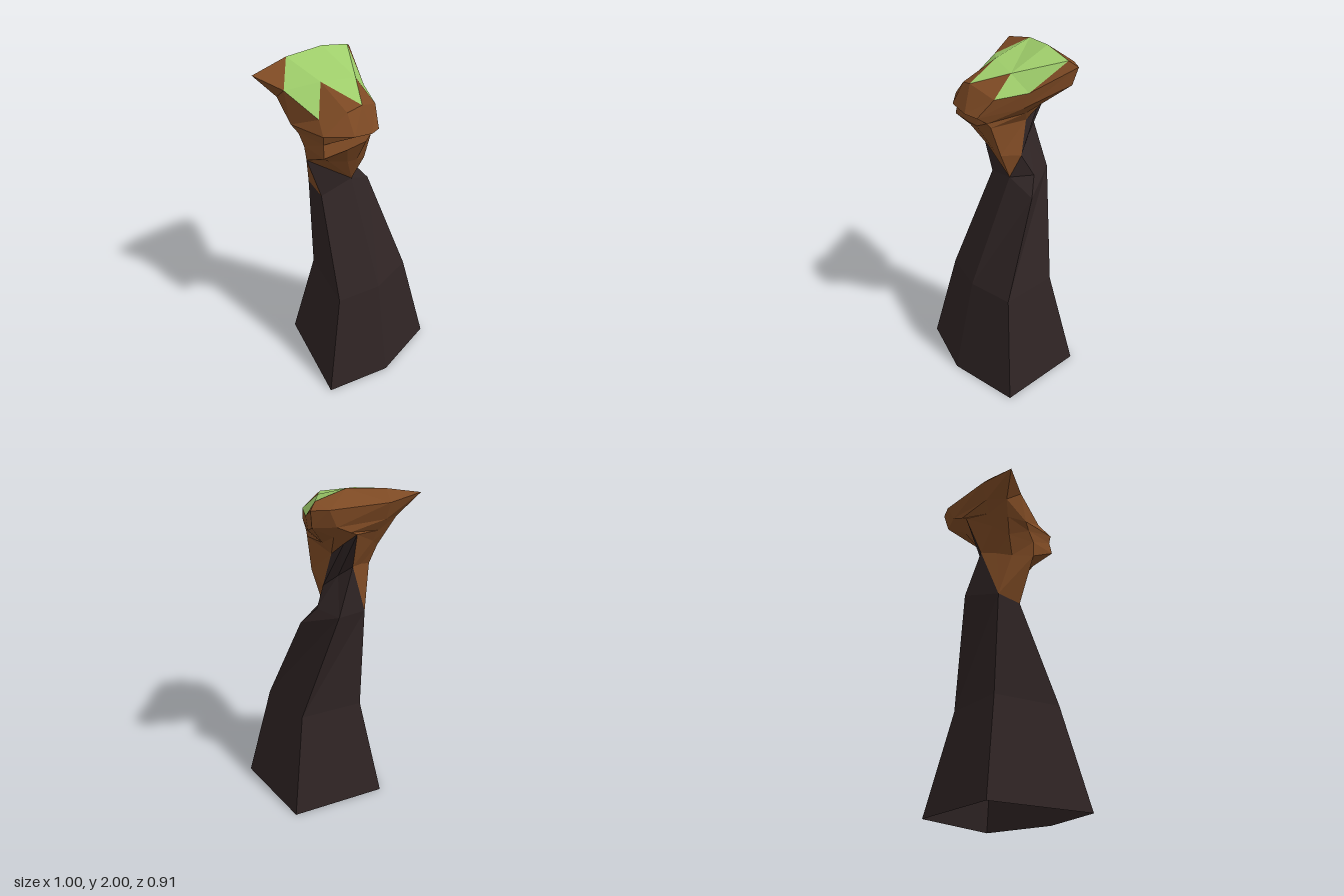
import * as THREE from 'three';

// Corner rings run from -x through the front (+z) to +x and round the back.
const base = [[-.37, 0, -.12], [-.1, 0, .457], [.25, 0, .27], [.5, 0, -.09], [.1, 0, -.457]];
const waist = [[-.22, .62, -.08], [-.045, .62, .3], [.19, .62, .165], [.35, .62, -.065], [.088, .62, -.3]];
const shoulder = [[-.23, 1.24, -.06], [-.15, 1.22, .07], [.02, 1.27, -.045], [.115, 1.19, -.18], [-.12, 1.28, -.255]];
const notch = [.02, 1.29, -.185];

const neck = [[-.235, 1.5, .02], [-.22, 1.51, .15], [-.1, 1.49, .13], [0, 1.46, .08], [.05, 1.45, .04],
  [.09, 1.44, 0], [0, 1.4, -.11], [-.09, 1.48, -.14], [-.175, 1.55, -.165], [-.205, 1.53, -.07]];
const jaw = [[-.28, 1.62, 0], [-.23, 1.6, .15], [-.12, 1.595, .275], [0, 1.6, .19], [.1, 1.62, .13],
  [.125, 1.62, .05], [-.05, 1.6, -.13], [-.13, 1.69, -.2], [-.21, 1.77, -.26], [-.27, 1.68, -.1]];
const fold = [[-.33, 1.71, -.01], [-.26, 1.66, .12], [-.12, 1.67, .26], [.01, 1.66, .17], [.1, 1.66, .12],
  [.135, 1.65, .07], [0, 1.66, -.13], [-.09, 1.75, -.27], [-.18, 1.79, -.29], [-.3, 1.75, -.12]];
const brow = [[-.38, 1.8, -.02], [-.3, 1.7, .1], [-.12, 1.72, .27], [.04, 1.72, .265], [.13, 1.7, .19],
  [.165, 1.69, .12], [.08, 1.72, -.12], [0, 1.83, -.375], [-.12, 1.83, -.34], [-.34, 1.82, -.14]];
const rim = [[-.5, 1.93, 0], [-.33, 1.88, .07], [-.145, 1.78, .195], [0, 1.83, .21], [.075, 1.85, .165],
  [.145, 1.79, .03], [.085, 1.81, -.15], [0, 1.93, -.405], [-.09, 1.93, -.38], [-.365, 1.92, -.17]];

// Inner corners of the grass cap
const dip = [-.14, 1.92, .045], crest = [.04, 1.9, -.05], peak = [-.145, 2, -.235];
const westTop = [-.33, 1.98, -.13], backTop = [-.01, 1.96, -.35];

// Two triangles for each side between a lower and an upper ring
function band(lower, upper, keep = () => true) {
  const tris = [], n = lower.length;
  for (let i = 0; i < n; i++) {
    if (!keep(i)) continue;
    const j = (i + 1) % n;
    tris.push([lower[i], lower[j], upper[j]], [lower[i], upper[j], upper[i]]);
  }
  return tris;
}

function facets(name, tris, material) {
  const geometry = new THREE.BufferGeometry();
  geometry.setAttribute('position', new THREE.Float32BufferAttribute(tris.flat(2), 3));
  geometry.computeVertexNormals();
  const mesh = new THREE.Mesh(geometry, material);
  mesh.name = name;
  return mesh;
}

function flat(name, color, side = THREE.FrontSide) {
  const m = new THREE.MeshStandardMaterial({ color, side, flatShading: true });
  m.name = name;
  return m;
}

export function createModel() {
  const rock = flat('dark rock', 0x2f2424, THREE.DoubleSide);
  const earth = flat('brown earth', 0x7e4a24);
  const grass = flat('grass green', 0x9fce6b);
  const model = new THREE.Group();
  model.name = 'rockPillar';

  const [E, A, B, C, D] = shoulder;
  const N = neck, T = rim;
  const isBare = (i) => i === 6 || i === 7;

  // Tapering five-sided pillar, hollow and open underneath
  model.add(facets('pillar', [
    ...band(base, waist), ...band(waist, shoulder), [B, C, notch], [C, D, notch],
  ], rock));

  // Bare rock of the neck, rising up the back
  model.add(facets('neckRock', [
    [N[1], A, B], [N[6], B, notch], [N[6], notch, N[7]], [N[7], notch, D],
    [N[7], D, N[8]], [N[8], D, E],
    ...band(neck, jaw, isBare),
  ], rock));

  // Hanging earth points below the head
  model.add(facets('hangingEarth', [
    ...[1, 2, 3, 4, 5].map((i) => [B, N[i + 1], N[i]]),
    [N[8], E, N[9]], [N[9], E, N[0]], [N[0], E, N[1]], [E, A, N[1]],
  ], earth));

  // Overhanging earth head with a creased front
  model.add(facets('earthHead', [
    ...band(neck, jaw, (i) => !isBare(i)), ...band(jaw, fold), ...band(fold, brow), ...band(brow, rim),
  ], earth));

  // Earth showing round and between the grass points
  model.add(facets('earthRim', [
    [dip, T[2], T[3]], [dip, T[3], T[4]], [crest, T[4], T[5]],
    [westTop, T[0], T[1]], [T[9], T[0], westTop], [T[9], westTop, peak],
    [T[8], T[9], peak], [T[8], peak, backTop], [T[7], T[8], backTop], [T[6], T[7], backTop],
  ], earth));

  // Grass cap with jagged front edge
  model.add(facets('grassCap', [
    [westTop, T[1], dip], [T[1], T[2], dip], [westTop, dip, crest], [westTop, crest, peak],
    [dip, T[4], crest], [peak, crest, backTop], [crest, T[6], backTop], [crest, T[5], T[6]],
  ], grass));

  return model;
}
